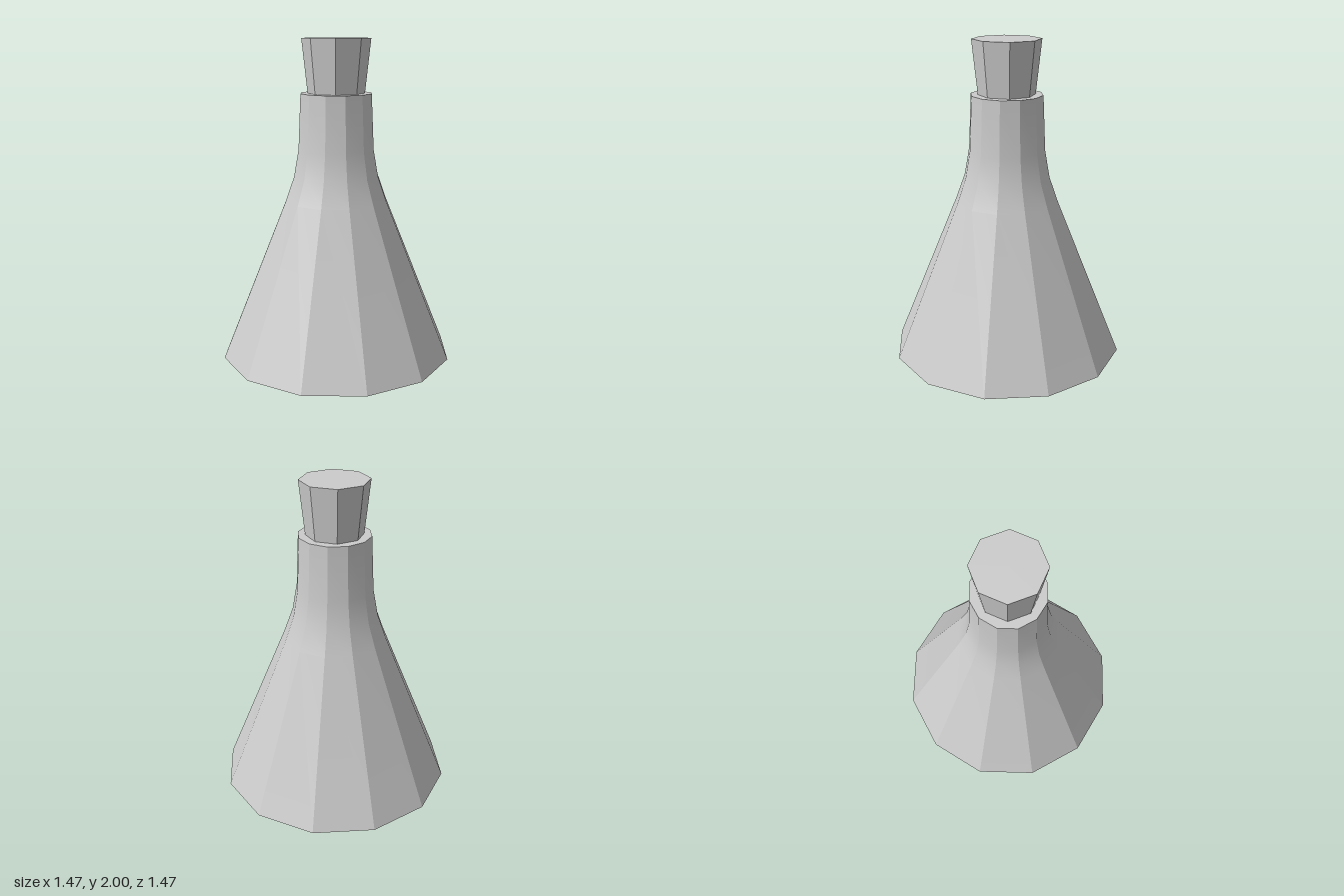
import * as THREE from 'three';
import { toCreasedNormals } from 'three/addons/utils/BufferGeometryUtils.js';

// Closed faceted solid turned from [radius, height] pairs, smooth only along the profile
function turned(name, profile, sides) {
  const points = profile.map(([r, y]) => new THREE.Vector2(r, y));
  const geometry = toCreasedNormals(new THREE.LatheGeometry(points, sides), 0.35);
  const mesh = new THREE.Mesh(geometry, new THREE.MeshStandardMaterial({ color: 0xcccccc }));
  mesh.name = name;
  return mesh;
}

export function createModel() {
  const model = new THREE.Group();
  model.name = 'stopperedFlask';

  // Conical twelve-sided flask with a curved shoulder and slightly tapered neck
  model.add(turned('flask', [
    [0, 0], [0.735, 0], [0.325, 1.0], [0.27, 1.155],
    [0.24, 1.325], [0.225, 1.667], [0, 1.667],
  ], 12));

  // Eight-sided stopper, widening upwards from the mouth
  model.add(turned('stopper', [
    [0, 1.66], [0.176, 1.66], [0.213, 2], [0, 2],
  ], 8));

  return model;
}
